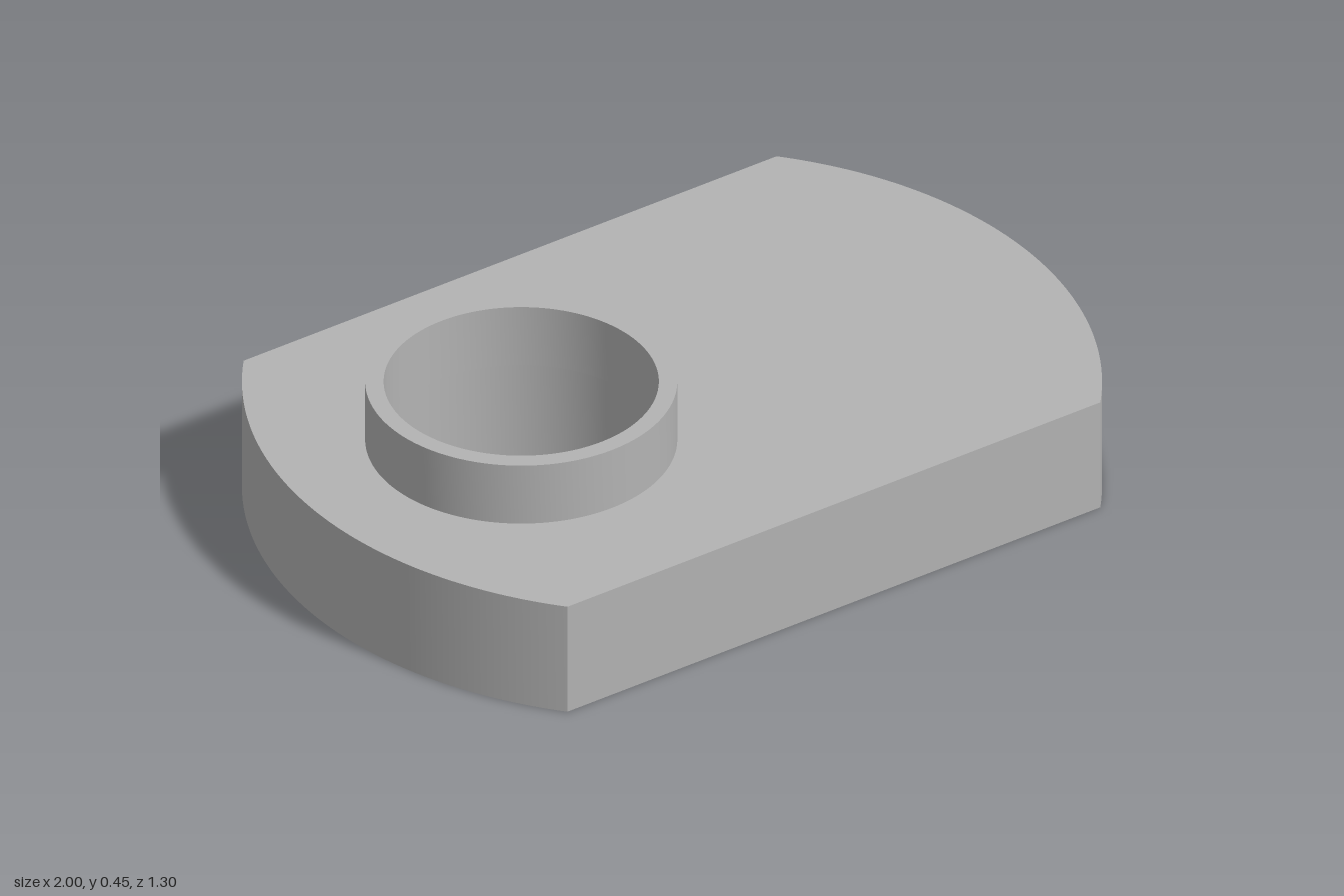
import * as THREE from 'three';
import { toCreasedNormals } from 'three/addons/utils/BufferGeometryUtils.js';

const PLATE_HEIGHT = 0.29;
const COLLAR_HEIGHT = 0.16;
const HALF_DEPTH = 0.65;
const BORE_X = -0.43;
const BORE_RADIUS = 0.32;
const COLLAR_RADIUS = 0.363;

// Adds the through bore to an outline, then raises it upward from height y
function extrudeWithBore(shape, y, height) {
  shape.holes.push(new THREE.Path().absarc(BORE_X, 0, BORE_RADIUS, 0, Math.PI * 2, true));
  const geometry = new THREE.ExtrudeGeometry(shape, {
    depth: height, bevelEnabled: false, curveSegments: 64,
  });
  geometry.rotateX(-Math.PI / 2);
  geometry.translate(0, y, 0);
  return toCreasedNormals(geometry, Math.PI / 6);
}

export function createModel() {
  const group = new THREE.Group();
  group.name = 'flangedPlate';
  const grey = new THREE.MeshStandardMaterial({ color: 0xb3b3b3 });
  grey.name = 'grey';

  // Base plate: a unit disc cut by two parallel flats
  const a = Math.asin(HALF_DEPTH);
  const outline = new THREE.Shape();
  outline.absarc(0, 0, 1, -a, a, false);
  outline.absarc(0, 0, 1, Math.PI - a, Math.PI + a, false);
  outline.closePath();
  const plate = new THREE.Mesh(extrudeWithBore(outline, 0, PLATE_HEIGHT), grey);
  plate.name = 'basePlate';

  // Thin collar around the bore
  const ring = new THREE.Shape();
  ring.absarc(BORE_X, 0, COLLAR_RADIUS, 0, Math.PI * 2, false);
  const collar = new THREE.Mesh(extrudeWithBore(ring, PLATE_HEIGHT, COLLAR_HEIGHT), grey);
  collar.name = 'collar';

  group.add(plate, collar);
  return group;
}
